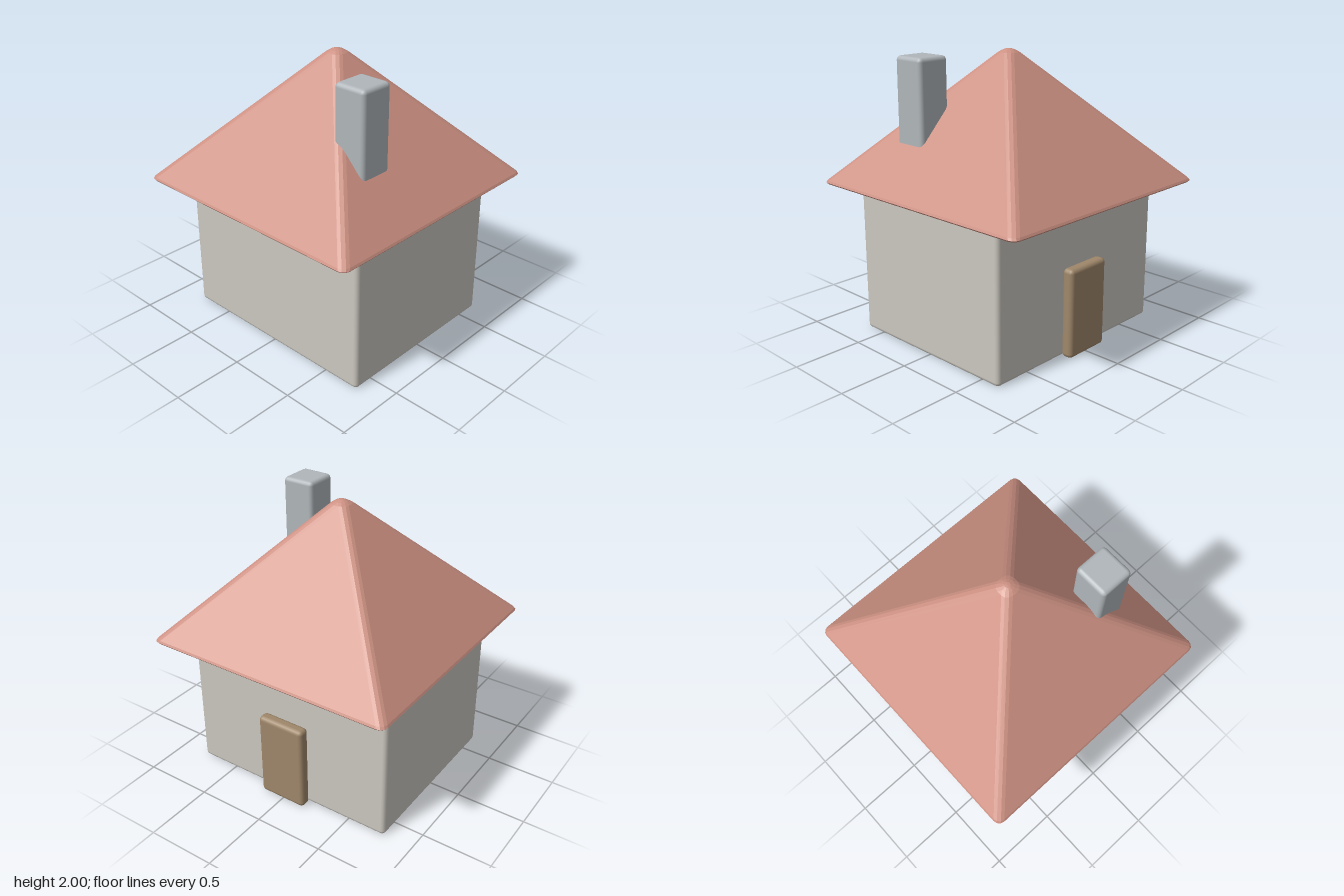
import * as THREE from 'three';
import { RoundedBoxGeometry } from 'three/addons/geometries/RoundedBoxGeometry.js';

const mat = (name, color) => {
  const m = new THREE.MeshStandardMaterial({ color });
  m.name = name;
  return m;
};

// Box with softened edges, given by its minimum and maximum corners
function softBox(name, min, max, radius, material) {
  const size = max.map((v, i) => v - min[i]);
  const mesh = new THREE.Mesh(new RoundedBoxGeometry(...size, 2, radius), material);
  mesh.position.set(...min.map((v, i) => (v + max[i]) / 2));
  mesh.name = name;
  return mesh;
}

// Square ring with rounded corners, counter-clockwise seen from above
function squareRing(half, y, radius, steps = 3) {
  const r = Math.min(radius, half);
  const points = [];
  for (let corner = 0; corner < 4; corner++) {
    const mid = (corner + 0.5) * Math.PI / 2;
    const cx = Math.sign(Math.cos(mid)) * (half - r);
    const cz = -Math.sign(Math.sin(mid)) * (half - r);
    for (let s = 0; s <= steps; s++) {
      const a = (corner + s / steps) * Math.PI / 2;
      points.push([cx + r * Math.cos(a), y, cz - r * Math.sin(a)]);
    }
  }
  return points;
}

// Hipped roof: rounded square rings stacked from the underside to the tip
function roofGeometry() {
  const profile = [
    [0, 1.055], [0.89, 1.055], [0.914, 1.059], [0.922, 1.069], [0.914, 1.083],
    [0.067, 1.973], [0.045, 1.988], [0.02, 1.998], [0, 2],
  ];
  const rings = profile.map(([half, y]) => squareRing(half, y, 0.05));
  const positions = [];
  for (let i = 0; i < rings.length - 1; i++) {
    const low = rings[i], high = rings[i + 1], n = low.length;
    for (let j = 0; j < n; j++) {
      const k = (j + 1) % n;
      if (i > 0) positions.push(...low[j], ...low[k], ...high[k]);
      if (i < rings.length - 2) positions.push(...low[j], ...high[k], ...high[j]);
    }
  }
  const geometry = new THREE.BufferGeometry();
  geometry.setAttribute('position', new THREE.Float32BufferAttribute(positions, 3));
  geometry.computeVertexNormals();
  return geometry;
}

export function createModel() {
  const house = new THREE.Group();
  house.name = 'house';

  const wallMat = mat('plaster', 0xcbc7bf);
  const roofMat = mat('roof tile', 0xcc9082);
  const stoneMat = mat('chimney stone', 0xb0b6ba);
  const woodMat = mat('door wood', 0x9f876a);

  // Walls reach just inside the roof
  house.add(softBox('walls', [-0.79, 0, -0.66], [0.79, 1.09, 0.66], 0.03, wallMat));

  const roof = new THREE.Mesh(roofGeometry(), roofMat);
  roof.name = 'roof';
  house.add(roof);

  // Chimney rises through the right-hand slope
  house.add(softBox('chimney', [0.385, 1.2, 0.19], [0.63, 1.97, 0.44], 0.03, stoneMat));

  // Door on the back wall
  house.add(softBox('door', [-0.18, 0, -0.742], [0.18, 0.635, -0.655], 0.03, woodMat));

  return house;
}
